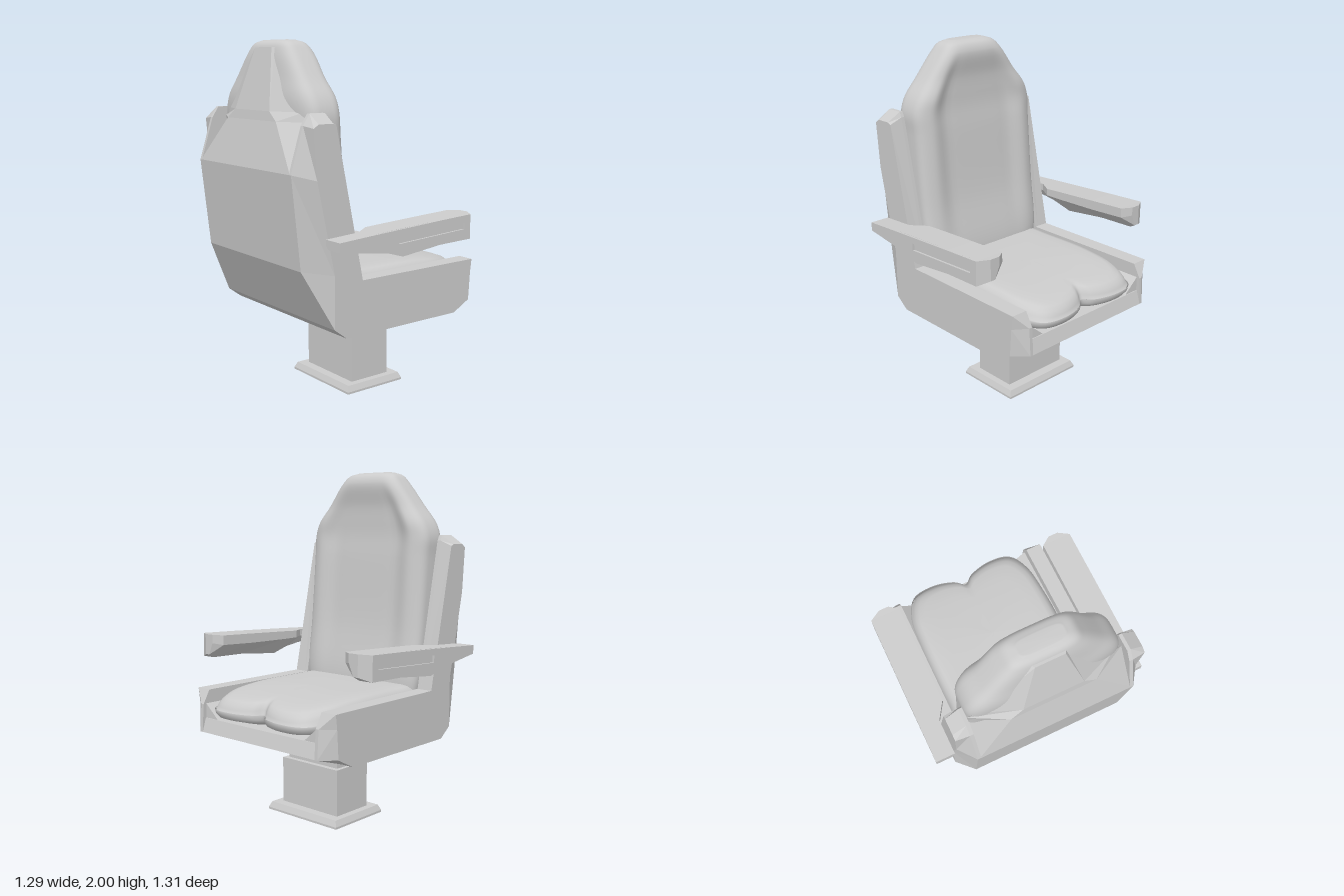
import * as THREE from 'three';

const mat = new THREE.MeshStandardMaterial({ color: 0xcccccc });

// Turn faces outward if the enclosed volume comes out negative.
function orient(pos, idx) {
  const v = pos.map(p => new THREE.Vector3(...p));
  let vol = 0;
  for (let i = 0; i < idx.length; i += 3) {
    vol += v[idx[i]].dot(v[idx[i + 1]].clone().cross(v[idx[i + 2]]));
  }
  if (vol < 0) idx.reverse();
  const g = new THREE.BufferGeometry();
  g.setAttribute('position', new THREE.Float32BufferAttribute(pos.flat(), 3));
  g.setIndex(idx);
  return g;
}

// Quads between consecutive closed rings.
function stitch(rings) {
  const n = rings[0].length, idx = [];
  for (let r = 0; r < rings.length - 1; r++) {
    for (let i = 0; i < n; i++) {
      const a = r * n + i, b = r * n + (i + 1) % n;
      idx.push(a, b, b + n, a, b + n, a + n);
    }
  }
  return idx;
}

// Hard-edged solid through sections [position, 2D points] along an axis.
// Points are (x,y) for axis z, (z,y) for axis x, (x,z) for axis y.
const place = {
  z: (p, a, b) => [a, b, p],
  x: (p, a, b) => [p, b, a],
  y: (p, a, b) => [a, p, b],
};
function loft(axis, sections, side = 1) {
  const rings = sections.map(([p, pts]) => pts.map(([a, b]) => {
    const q = place[axis](p, a, b);
    return [q[0], q[1], q[2] * side];
  }));
  const idx = stitch(rings), n = rings[0].length;
  const cap = s => {
    const pts = s[1].map(([a, b]) => new THREE.Vector2(a, b));
    const flip = THREE.ShapeUtils.area(pts) < 0;
    return THREE.ShapeUtils.triangulateShape(pts, [])
      .map(t => {
        const area = THREE.ShapeUtils.area(t.map(i => pts[i]));
        return (area < 0) !== flip ? [t[0], t[2], t[1]] : t;
      });
  };
  const last = (rings.length - 1) * n;
  cap(sections[0]).forEach(([a, b, c]) => idx.push(a, c, b));
  cap(sections[sections.length - 1]).forEach(([a, b, c]) => idx.push(last + a, last + b, last + c));
  const g = orient(rings.flat(), idx).toNonIndexed();
  g.computeVertexNormals();
  return g;
}

// Smooth closed skin over rings.
function skin(rings) {
  const g = orient(rings.flat(), stitch(rings));
  g.computeVertexNormals();
  return g;
}

const rect = (a0, a1, b0, b1) => [[a0, b0], [a1, b0], [a1, b1], [a0, b1]];
const spow = (v, e) => Math.sign(v) * Math.abs(v) ** e;

function seatCushion() {
  const half = [[0.61, 0.06], [0.645, 0.2], [0.62, 0.34], [0.5, 0.41], [0.3, 0.432],
    [-0.1, 0.432], [-0.3, 0.42], [-0.34, 0.3]];
  const pts = [[0.565, 0], ...half, ...half.map(([x, z]) => [x, -z]).reverse()];
  const outline = new THREE.CatmullRomCurve3(pts.map(([x, z]) => new THREE.Vector3(x, 0, z)), true)
    .getPoints(96).slice(0, -1);
  const layers = [[0, 0.6], [0.85, 0.6], [0.96, 0.615], [0.99, 0.635], [1, 0.66], [0.985, 0.7],
    [0.965, 0.725], [0.935, 0.745], [0.89, 0.762], [0.82, 0.77], [0.65, 0.772], [0.35, 0.772], [0, 0.772]];
  return skin(layers.map(([s, y]) => outline.map(p => {
    const x = 0.15 + (p.x - 0.15) * s;
    const sag = y > 0.68 ? 0.05 * Math.max(0, (x - 0.1) / 0.53) ** 2 : 0;
    return [x, y - sag, p.z * s];
  })));
}

function backCushion() {
  // y, half width, front x, back x, depth of the hollow between the bolsters
  const rows = [[0.64, 0.4, -0.2, -0.38, 0], [0.8, 0.43, -0.195, -0.4, 0.01], [1.1, 0.435, -0.225, -0.46, 0.035],
    [1.5, 0.435, -0.252, -0.52, 0.045], [1.62, 0.435, -0.26, -0.53, 0.05], [1.7, 0.405, -0.262, -0.53, 0.05],
    [1.8, 0.325, -0.28, -0.515, 0.03], [1.93, 0.222, -0.288, -0.495, 0.004], [1.98, 0.175, -0.315, -0.475, 0],
    [2, 0.12, -0.36, -0.44, 0]];
  const curve = f => new THREE.CatmullRomCurve3(rows.map(f));
  const front = curve(r => new THREE.Vector3(r[1], r[0], r[2]));
  const rear = curve(r => new THREE.Vector3(r[3], r[0], r[4]));
  const N = 72, M = 54, rings = [];
  for (let j = 0; j <= M; j++) {
    const f = front.getPoint(j / M), b = rear.getPoint(j / M);
    const mid = (f.z + b.x) / 2, h = (f.z - b.x) / 2, ring = [];
    for (let i = 0; i < N; i++) {
      const t = i / N * Math.PI * 2, c = Math.cos(t), s = Math.sin(t);
      const u = spow(s, 0.5);
      const hollow = c > 0 ? b.z * (1 - THREE.MathUtils.smoothstep(Math.abs(u), 0.5, 0.82)) : 0;
      ring.push([mid + h * spow(c, 0.5) - hollow, Math.min(f.y, 2), u * f.x]);
    }
    rings.push(ring);
  }
  const close = (r, x) => r.map(p => [x, p[1], 0]);
  return skin([close(rings[0], -0.3), ...rings, close(rings[M], -0.4)]);
}

function armrest(side) {
  // outer z, inner z, bottom inner z, top, inner edge, bottom
  const sec = (zo, zi, zm, top, mid, bot) => [[zo, top], [zi, top], [zi, mid], [zm, bot], [zo, bot]];
  return loft('x', [
    [-0.49, sec(0.643, 0.54, 0.56, 1.0, 0.97, 0.95)],
    [-0.28, sec(0.643, 0.54, 0.57, 1.012, 0.97, 0.922)],
    [-0.18, sec(0.643, 0.475, 0.57, 1.018, 0.975, 0.908)],
    [-0.07, sec(0.643, 0.475, 0.57, 1.024, 0.975, 0.875)],
    [0.2, sec(0.643, 0.475, 0.57, 1.037, 0.98, 0.903)],
    [0.43, sec(0.643, 0.475, 0.57, 1.047, 0.99, 0.908)],
    [0.431, sec(0.655, 0.475, 0.57, 1.047, 0.99, 0.908)],
    [0.47, sec(0.59, 0.53, 0.56, 1.05, 1.0, 0.93)],
  ], side);
}

// Outer armrest panel with a long slot.
function armrestPanel(side) {
  const v = pts => pts.map(([x, y]) => new THREE.Vector2(x, y));
  const shape = new THREE.Shape(v([[-0.49, 0.95], [-0.18, 0.908], [-0.07, 0.875], [0.2, 0.903],
    [0.431, 0.908], [0.431, 1.047], [0.2, 1.037], [-0.28, 1.012], [-0.49, 1.0]]));
  shape.holes.push(new THREE.Path(v([[-0.1, 0.945], [-0.1, 0.985], [0.385, 1.005], [0.385, 0.968]])));
  const g = new THREE.ExtrudeGeometry(shape, { depth: 0.012, bevelEnabled: false });
  return g.translate(0, 0, side > 0 ? 0.643 : -0.655);
}

export function createModel() {
  const group = new THREE.Group();
  const add = (name, geometry) => {
    const m = new THREE.Mesh(geometry, mat);
    m.name = name;
    group.add(m);
  };

  // Pedestal
  add('basePlate', loft('y', [[0, rect(-0.13, 0.275, -0.27, 0.27)], [0.012, rect(-0.13, 0.275, -0.27, 0.27)],
    [0.045, rect(-0.115, 0.26, -0.255, 0.255)]]));
  add('lowerColumn', loft('y', [[0.04, rect(-0.06, 0.205, -0.215, 0.215)], [0.315, rect(-0.06, 0.205, -0.215, 0.215)]]));
  add('upperColumn', loft('y', [[0.31, rect(-0.03, 0.175, -0.19, 0.19)], [0.47, rect(-0.03, 0.175, -0.19, 0.19)]]));

  // Shell floor and back
  const floor = [[-0.35, 0.45], [0.44, 0.45], [0.63, 0.51], [0.605, 0.59], [-0.3, 0.59], [-0.47, 0.59], [-0.43, 0.51]];
  add('shellFloor', loft('z', [[-0.45, floor], [0.45, floor]]));
  const slab = (xb, xf, wb, wf) => [[xb, -wb], [xb, wb], [xf, wf], [xf, -wf]];
  add('shellBack', loft('y', [
    [0.51, slab(-0.43, -0.3, 0.45, 0.45)], [0.83, slab(-0.59, -0.3, 0.45, 0.45)],
    [1.33, slab(-0.645, -0.42, 0.45, 0.45)], [1.58, slab(-0.585, -0.48, 0.24, 0.44)],
    [1.63, slab(-0.578, -0.5, 0.17, 0.37)], [1.96, slab(-0.5, -0.485, 0.08, 0.09)]]));

  // Side walls with chamfered outer edges
  const inner = [[-0.35, 0.45], [0.44, 0.45], [0.63, 0.51], [0.62, 0.67], [0.575, 0.75], [-0.245, 0.75],
    [-0.42, 1.6], [-0.435, 1.63], [-0.53, 1.63], [-0.57, 1.57], [-0.645, 1.33], [-0.59, 0.83], [-0.43, 0.51]];
  const outer = [[-0.35, 0.45], [0.44, 0.45], [0.555, 0.51], [0.565, 0.67], [0.575, 0.75], [-0.245, 0.75],
    [-0.42, 1.57], [-0.44, 1.58], [-0.53, 1.58], [-0.56, 1.56], [-0.54, 1.3], [-0.43, 0.8], [-0.43, 0.51]];
  for (const side of [1, -1]) {
    const tag = side > 0 ? 'left' : 'right';
    add(tag + 'SideWall', loft('z', [[0.44, inner], [0.46, inner], [0.537, outer]], side));
    add(tag + 'TrayRamp', loft('x', [[-0.2, [[0.33, 0.58], [0.46, 0.58], [0.46, 0.69]]],
      [0.6, [[0.33, 0.58], [0.46, 0.58], [0.46, 0.69]]]], side));
    add(tag + 'Armrest', armrest(side));
    add(tag + 'ArmrestPanel', armrestPanel(side));
    const rail = [[-0.24, 0.452], [-0.1, 0.425], [0.2, 0.42], [0.46, 0.452]];
    add(tag + 'UndersideRail', loft('z', [[0.065, rail], [0.13, rail]], side));
  }

  // Upholstery
  add('seatCushion', seatCushion());
  add('backCushion', backCushion());
  return group;
}
